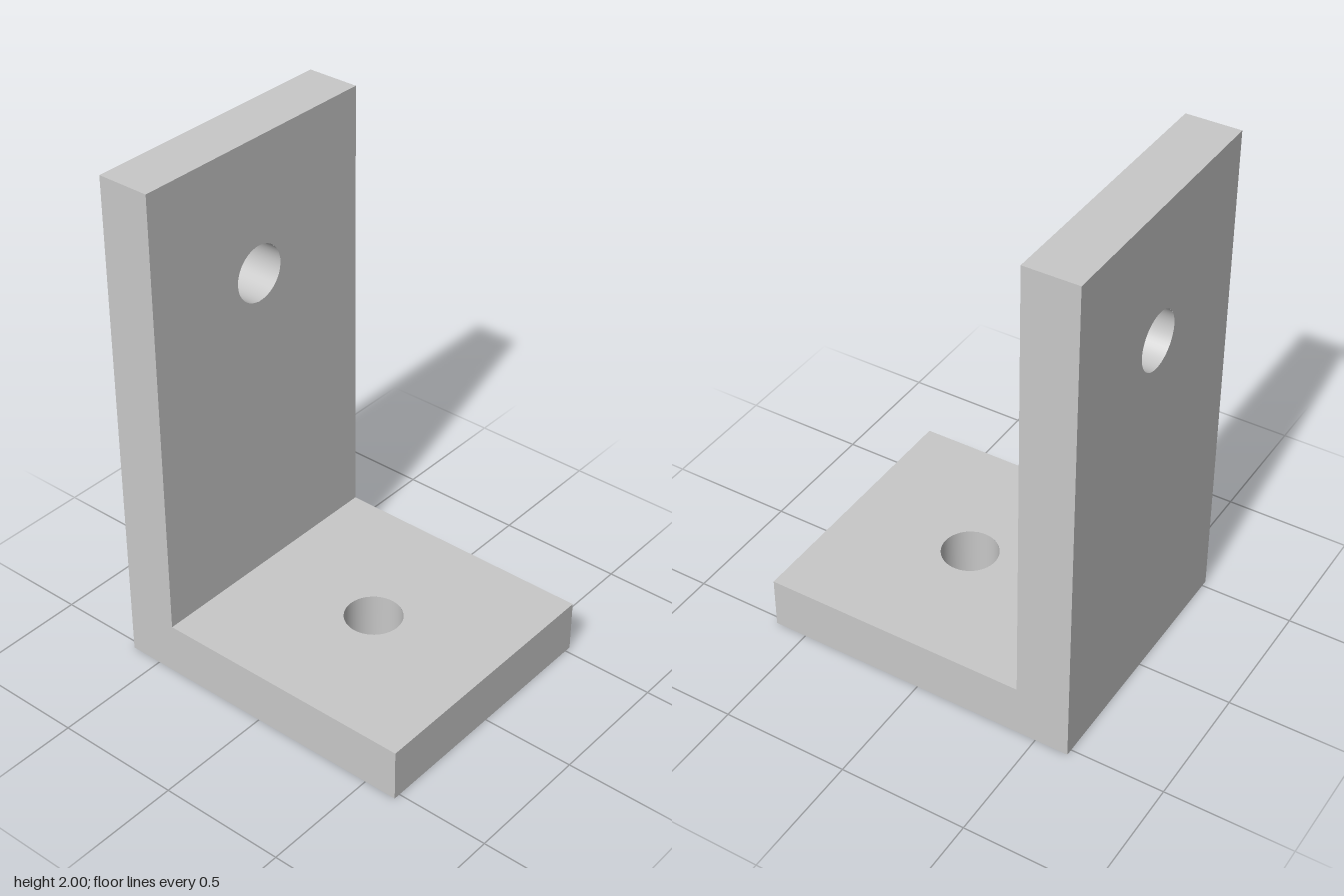
import * as THREE from 'three';
import { mergeGeometries } from 'three/addons/utils/BufferGeometryUtils.js';

const W = 1.053, H = 2, D = 1.263, T = 0.21;   // overall size and plate thickness
const BACK = -D / 2, FRONT = D / 2;
const R = 0.111, HOLE_Y = 1.474, HOLE_Z = 0.104;
const Q = Math.PI / 2;

// Flat face centred on x, rising from y = 0, facing +z, with an optional round hole
function panel(w, h, holeY) {
  const s = new THREE.Shape();
  s.moveTo(-w / 2, 0).lineTo(w / 2, 0).lineTo(w / 2, h).lineTo(-w / 2, h).closePath();
  if (holeY !== undefined) s.holes.push(new THREE.Path().absarc(0, holeY, R, 0, Math.PI * 2, true));
  return new THREE.ShapeGeometry(s, 48);
}

// Inward-facing wall of a drilled hole, along y
function bore() {
  return new THREE.LatheGeometry([new THREE.Vector2(R, T), new THREE.Vector2(R, 0)], 48);
}

export function createModel() {
  const steel = new THREE.MeshStandardMaterial({ color: 0xc8c8c8 });
  steel.name = 'light steel grey';
  const group = new THREE.Group();
  group.name = 'angleBracket';

  const add = (name, parts) => {
    const mesh = new THREE.Mesh(mergeGeometries(parts), steel);
    mesh.name = name;
    group.add(mesh);
  };

  // Horizontal foot: top, underside, front edge, ends and hole wall
  add('basePlate', [
    panel(W, D - T, FRONT - HOLE_Z).rotateX(-Q).translate(0, T, FRONT),
    panel(W, D, HOLE_Z - BACK).rotateX(Q).translate(0, 0, BACK),
    panel(W, T).translate(0, 0, FRONT),
    ...[-1, 1].map(s => panel(D, T).rotateY(s * Q).translate(s * W / 2, 0, 0)),
    bore().translate(0, 0, HOLE_Z),
  ]);

  // Vertical plate: front, back, top edge, ends and hole wall
  add('uprightPlate', [
    panel(W, H - T, HOLE_Y - T).translate(0, T, BACK + T),
    panel(W, H, HOLE_Y).rotateY(Math.PI).translate(0, 0, BACK),
    panel(W, T).rotateX(-Q).translate(0, H, BACK + T),
    ...[-1, 1].map(s => panel(T, H - T).rotateY(s * Q).translate(s * W / 2, T, BACK + T / 2)),
    bore().rotateX(Q).translate(0, HOLE_Y, BACK),
  ]);

  return group;
}
